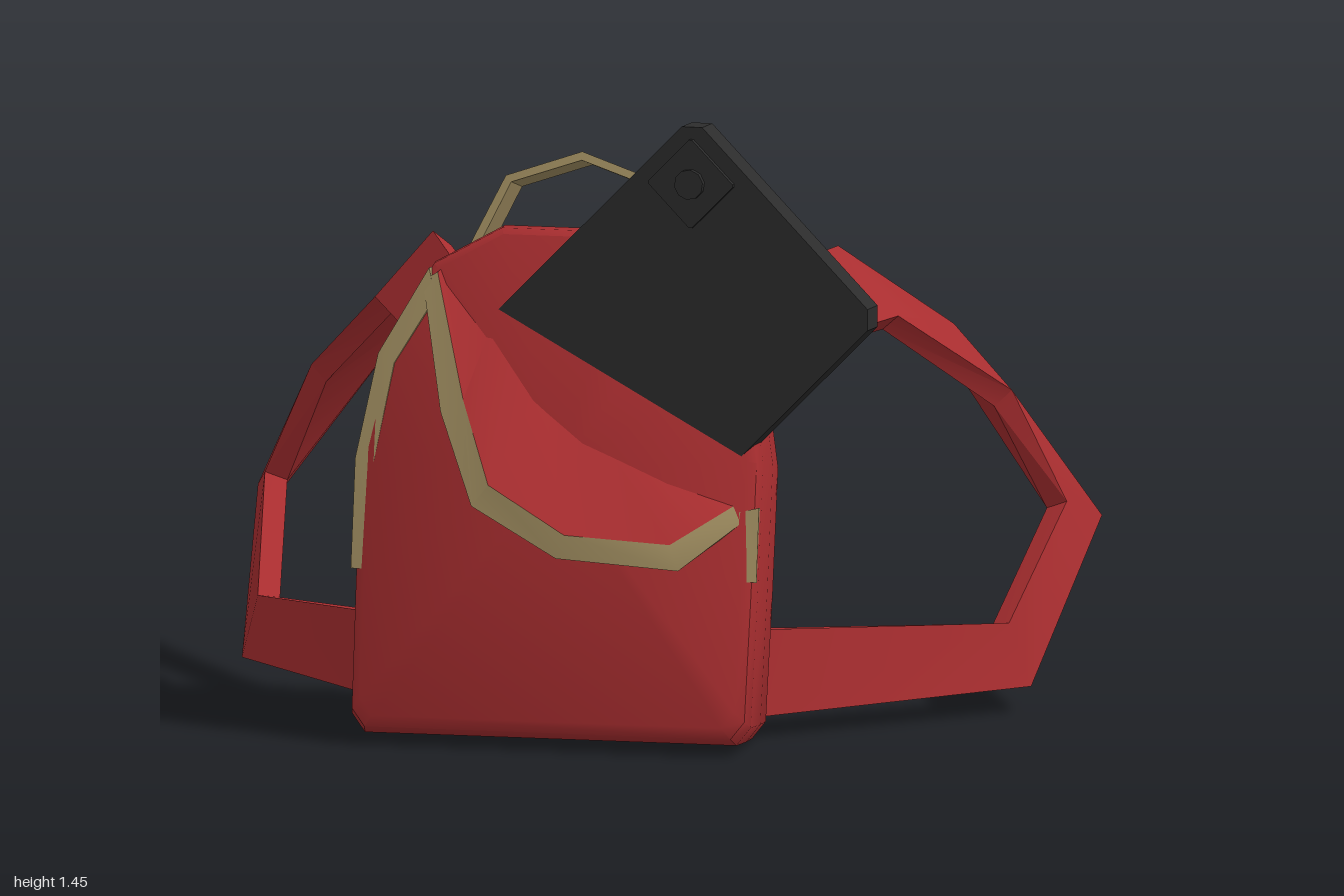
import * as THREE from 'three';
import { toCreasedNormals } from 'three/addons/utils/BufferGeometryUtils.js';

const V = (p) => new THREE.Vector3(...p);

// Closed skin over a list of equal-length rings, capped at both ends.
function loft(rings, flip, crease) {
  const n = rings[0].length;
  const pos = [];
  const idx = [];
  const tri = (a, b, c) => (flip ? idx.push(a, c, b) : idx.push(a, b, c));
  rings.forEach((r) => r.forEach((p) => pos.push(p.x, p.y, p.z)));
  for (let i = 0; i < rings.length - 1; i++) {
    for (let j = 0; j < n; j++) {
      const a = i * n + j, b = i * n + (j + 1) % n;
      tri(a, b, a + n);
      tri(b, b + n, a + n);
    }
  }
  [0, rings.length - 1].forEach((k) => {
    const c = pos.length / 3;
    const mid = rings[k].reduce((s, p) => s.add(p), new THREE.Vector3()).divideScalar(n);
    pos.push(mid.x, mid.y, mid.z);
    for (let j = 0; j < n; j++) {
      const a = k * n + j, b = k * n + (j + 1) % n;
      if (k === 0) tri(c, b, a);
      else tri(c, a, b);
    }
  });
  const g = new THREE.BufferGeometry();
  g.setAttribute('position', new THREE.Float32BufferAttribute(pos, 3));
  g.setIndex(idx);
  return toCreasedNormals(g, crease);
}

// Flat band between two edge paths, thickened by t along its normal.
function band(edgeA, edgeB, t, crease = 0.5) {
  const A = edgeA.map(V), B = edgeB.map(V);
  const mid = A.map((a, i) => a.clone().add(B[i]).multiplyScalar(0.5));
  const rings = A.map((a, i) => {
    const dir = mid[Math.min(i + 1, A.length - 1)].clone().sub(mid[Math.max(i - 1, 0)]);
    const nrm = dir.cross(B[i].clone().sub(a)).normalize().multiplyScalar(t);
    return [a, B[i], B[i].clone().add(nrm), a.clone().add(nrm)];
  });
  return loft(rings, t < 0, crease);
}

// Rectangle with cut corners.
function chamferedRect(w, h, c) {
  const x = w / 2, y = h / 2;
  return new THREE.Shape([
    [-x + c, -y], [x - c, -y], [x, -y + c], [x, y - c],
    [x - c, y], [-x + c, y], [-x, y - c], [-x, -y + c],
  ].map((p) => new THREE.Vector2(...p)));
}

export function createModel() {
  const model = new THREE.Group();
  const mat = (name, color) => {
    const m = new THREE.MeshStandardMaterial({ color });
    m.name = name;
    return m;
  };
  const red = mat('red fabric', 0xaa2e30);
  const tan = mat('tan trim', 0xa39062);
  const dark = mat('dark casing', 0x2c2c2c);
  const blue = mat('blue screen', 0x27658f);
  const grey = mat('grey picture', 0x777273);

  const add = (name, geo, material, parent = model) => {
    const m = new THREE.Mesh(geo, material);
    m.name = name;
    parent.add(m);
    return m;
  };

  // Bag body: arched outline lofted from back to front, leaning backwards
  const half = [[0.44, 0], [0.472, 0.04], [0.475, 0.33], [0.475, 0.62], [0.43, 0.86], [0.32, 1.04], [0.16, 1.125]];
  const outline = [...half, ...half.map(([x, u]) => [-x, u]).reverse()];
  const lean = (x, u, d) => new THREE.Vector3(x, u + 0.08 * d + 0.1 * d * u, 0.28 - 0.186 * u + d);
  const rings = [
    [0, 0.9, 0.96, 0], [0.06, 0.95, 0.985, 0], [0.18, 0.985, 1, 0],
    [0.3, 1, 1, 0], [0.335, 0.985, 0.98, 0.015], [0.35, 0.94, 0.945, 0.04],
  ].map(([d, sx, su, lift]) => outline.map(([x, u]) => lean(x * sx, lift + u * su, d)));
  add('bagBody', loft(rings, false, 0.75), red);

  // Shoulder straps, mirrored
  const strapOuter = [[0.31, 1.02, 0.14], [0.48, 1.07, -0.23], [0.66, 0.84, -0.61], [1, 0.4, -0.655], [0.935, 0.06, -0.24], [0.43, 0.05, 0.3]];
  const strapInner = [[0.42, 0.87, 0.16], [0.62, 0.91, -0.24], [0.83, 0.71, -0.48], [0.95, 0.45, -0.52], [0.89, 0.21, -0.21], [0.43, 0.25, 0.28]];
  for (const s of [1, -1]) {
    const flip = (pts) => pts.map(([x, y, z]) => [x * s, y, z]);
    add(s > 0 ? 'leftStrap' : 'rightStrap', band(flip(strapOuter), flip(strapInner), 0.055 * s), red);
  }

  // Carry handle on top
  const arch = [[-0.25, 1.07], [-0.165, 1.245], [0, 1.3], [0.165, 1.245], [0.25, 1.07]];
  const handleEdge = (d) => arch.map(([x, y]) => [x, y + 0.25 * d, 0.21 + d - 0.15 * (y - 1.09)]);
  add('handle', band(handleEdge(0.105), handleEdge(0), 0.02), tan);

  // Open front flap and its trim
  const trimLow = [[-0.335, 1.06, 0.45], [-0.27, 0.77, 0.545], [-0.17, 0.57, 0.655], [0.03, 0.455, 0.655], [0.31, 0.43, 0.615], [0.46, 0.55, 0.525]];
  const trimHigh = [[-0.3, 1.08, 0.45], [-0.215, 0.8, 0.55], [-0.13, 0.62, 0.655], [0.05, 0.51, 0.655], [0.29, 0.49, 0.615], [0.44, 0.585, 0.52]];
  const flapTop = [[-0.29, 1.09, 0.43], [-0.17, 0.97, 0.445], [-0.05, 0.83, 0.46], [0.06, 0.76, 0.465], [0.25, 0.68, 0.48], [0.42, 0.6, 0.5]];
  add('flap', band(trimHigh, flapTop, -0.015, 0.7), red);
  add('flapTrim', band(trimLow, trimHigh, -0.03), tan);

  // Trim along the bag sides
  const sideOuter = [[-0.48, 0.4, 0.555], [-0.48, 0.65, 0.513], [-0.435, 0.89, 0.475], [-0.32, 1.09, 0.45]];
  const sideInner = [[-0.435, 0.4, 0.56], [-0.435, 0.64, 0.52], [-0.395, 0.87, 0.483], [-0.305, 1.02, 0.46]];
  add('rightSideTrim', band(sideOuter, sideInner, 0.05), tan);
  add('leftSideTrim', band(
    [[0.435, 0.4, 0.56], [0.435, 0.56, 0.535]],
    [[0.48, 0.4, 0.55], [0.48, 0.57, 0.525]], 0.05), tan);

  // Tablet tucked into the opening, screen facing back
  const tablet = new THREE.Group();
  tablet.name = 'tablet';
  tablet.position.set(0.262, 0.962, 0.46);
  tablet.rotation.set(0, -0.095, -Math.PI / 4);
  model.add(tablet);
  const plate = (shape, depth, z) => new THREE.ExtrudeGeometry(shape, { depth, bevelEnabled: false }).translate(0, 0, z);
  add('tabletCase', plate(chamferedRect(0.64, 0.8, 0.035), 0.07, -0.035), dark, tablet);
  add('tabletScreen', plate(chamferedRect(0.56, 0.72, 0.01), 0.005, -0.039), blue, tablet);
  add('cameraPlate', plate(chamferedRect(0.15, 0.15, 0.005), 0.012, 0.035), dark, tablet).position.set(-0.21, 0.29, 0);
  const lens = add('cameraLens', new THREE.CylinderGeometry(0.035, 0.035, 0.025, 10).rotateX(Math.PI / 2), dark, tablet);
  lens.position.set(-0.21, 0.29, 0.048);

  // Simple picture on the screen
  const disc = (r, sides) => new THREE.CylinderGeometry(r, r, 0.006, sides).rotateX(Math.PI / 2);
  const blob = add('screenPicture', disc(0.14, 8), grey, tablet);
  blob.position.set(0.03, 0.15, -0.042);
  blob.rotation.z = Math.PI / 4;
  blob.scale.set(0.9, 1.15, 1);
  add('screenPictureCentre', disc(0.05, 6), red, tablet).position.set(0.065, 0.05, -0.046);

  return model;
}
